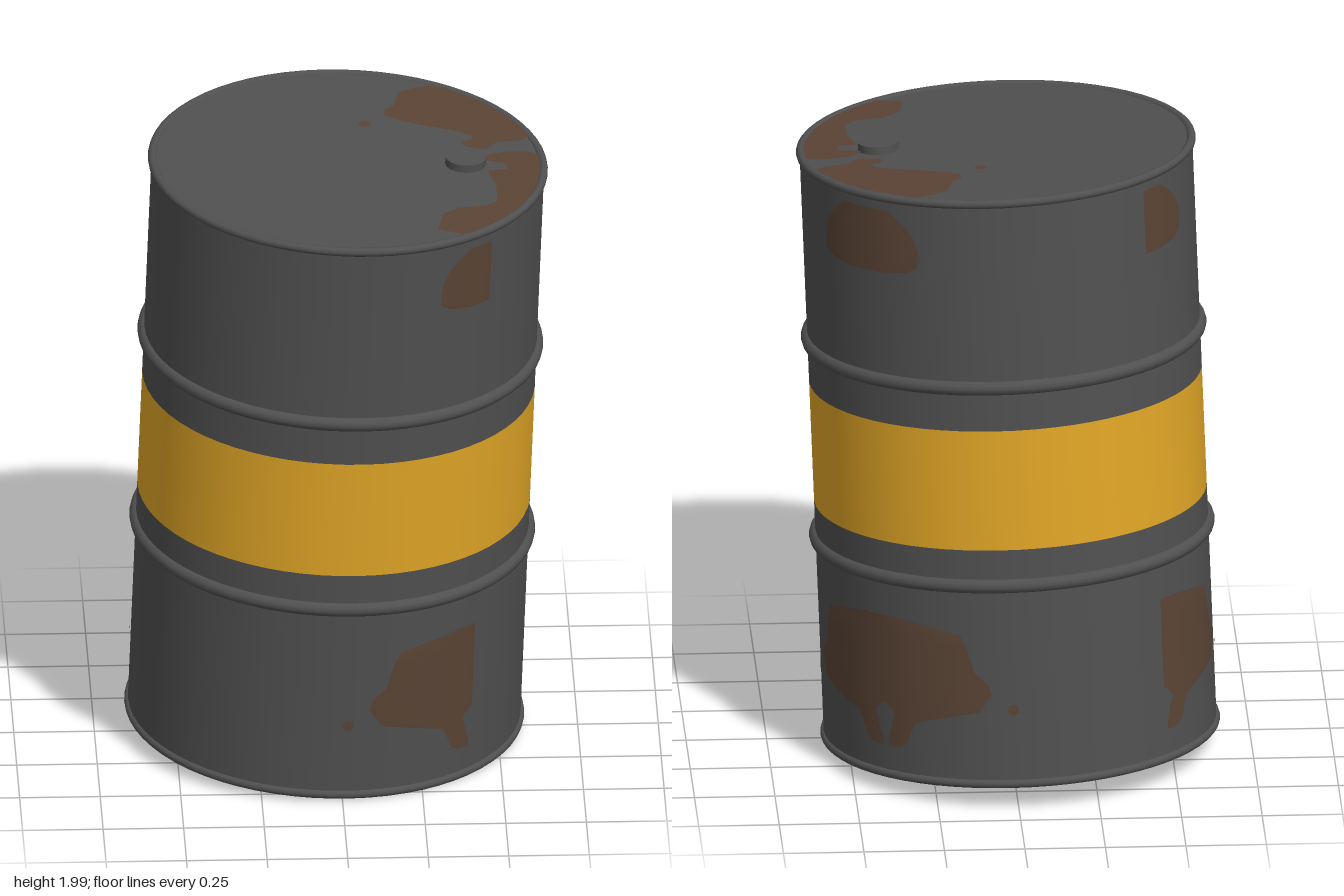
import * as THREE from 'three';

const R = 0.61, H = 0.95, SEG = 64;
const LID = { x: 0.035, z: 0.053 }; // offset of the tilted lid's centre

const steel = new THREE.MeshStandardMaterial({ color: 0x505050 });
steel.name = 'dark grey steel';
const yellow = new THREE.MeshStandardMaterial({ color: 0xe0a526 });
yellow.name = 'yellow paint';
const rust = new THREE.MeshStandardMaterial({ color: 0x5a4435, side: THREE.DoubleSide });
rust.name = 'brown rust';

// Side stains: [height, outer degrees, inner degrees] measured from a seam
const LOWER = [
  [-0.425, 6, 0], [-0.435, 13, 0], [-0.46, 26, 0], [-0.5, 28, 0], [-0.54, 29, 0], [-0.58, 30, 0],
  [-0.62, 34, 0], [-0.65, 35, 0], [-0.68, 33, 0], [-0.71, 31, 0], [-0.725, 24, 2], [-0.745, 16, 4],
  [-0.76, 11, 3], [-0.8, 9, 2], [-0.83, 8, 1], [-0.85, 5, 1],
];
const UPPER = [
  [0.905, 8, 0], [0.885, 11, 0], [0.85, 15, 0], [0.82, 17, 0], [0.78, 18, 0], [0.73, 18, 0],
  [0.71, 14, 0], [0.7, 7, 0],
];
// Lid stains: [z, x from, x to], 9 meaning up to the edge
const LID_BACK = [
  [-0.475, 0.32, 0.37], [-0.45, 0.26, 9], [-0.42, 0.21, 9], [-0.38, 0.2, 9], [-0.33, 0.19, 9],
  [-0.3, 0.16, 9], [-0.26, 0.16, 9], [-0.23, 0.2, 9], [-0.2, 0.27, 9], [-0.17, 0.36, 9],
  [-0.14, 0.42, 9], [-0.11, 0.43, 0.58], [-0.09, 0.39, 0.5], [-0.06, 0.4, 0.48], [-0.045, 0.44, 0.47],
];
const LID_FRONT = [
  [-0.03, 0.54, 0.6], [-0.01, 0.48, 9], [0.03, 0.45, 9], [0.05, 0.52, 9], [0.09, 0.53, 9],
  [0.1, 0.47, 9], [0.13, 0.47, 9], [0.2, 0.49, 9], [0.25, 0.49, 9], [0.31, 0.49, 9],
  [0.34, 0.46, 9], [0.36, 0.37, 9], [0.4, 0.32, 9], [0.45, 0.31, 9], [0.51, 0.3, 9], [0.54, 0.38, 9],
];

// Thin sheet made of rows; place(row, t) gives the point at t = 0..1 along a row
function sheet(rows, place, cols = 12) {
  const pos = [], idx = [];
  rows.forEach((row, i) => {
    for (let j = 0; j <= cols; j++) {
      pos.push(...place(row, j / cols));
      if (i && j) {
        const d = i * (cols + 1) + j, b = d - cols - 1;
        idx.push(b - 1, d - 1, d, b - 1, d, b);
      }
    }
  });
  const g = new THREE.BufferGeometry();
  g.setAttribute('position', new THREE.Float32BufferAttribute(pos, 3));
  g.setIndex(idx);
  g.computeVertexNormals();
  return g;
}

const onSide = (seam, dir) => ([h, outer, inner], t) => {
  const a = THREE.MathUtils.degToRad(seam + dir * (inner + (outer - inner) * t));
  return [Math.sin(a) * (R + 0.004), h, Math.cos(a) * (R + 0.004)];
};

const onLid = (y) => ([z, x0, x1], t) => {
  const lz = z - LID.z;
  const edge = Math.sqrt(Math.max(0, 0.607 ** 2 - lz * lz));
  const a = Math.min(x0 - LID.x, edge), b = Math.min(x1 - LID.x, edge);
  return [a + (b - a) * t, y, lz];
};

export function createModel() {
  const model = new THREE.Group();
  model.name = 'barrel';
  const drum = new THREE.Group();
  drum.name = 'tiltedDrum';
  model.add(drum);

  const add = (name, geometry, material, x = 0, y = 0, z = 0) => {
    const m = new THREE.Mesh(geometry, material);
    m.name = name;
    m.position.set(x, y, z);
    drum.add(m);
    return m;
  };

  // Wall in three sections, the middle one painted
  const wall = (name, y0, y1, material) =>
    add(name, new THREE.CylinderGeometry(R, R, y1 - y0, SEG, 1, true), material, 0, (y0 + y1) / 2, 0);
  wall('lowerWall', -H, -0.183, steel);
  wall('paintedBand', -0.183, 0.205, yellow);
  wall('upperWall', 0.205, H, steel);

  // Lid and base
  for (const s of [1, -1]) {
    const disc = add(s > 0 ? 'lid' : 'base', new THREE.CircleGeometry(R, SEG), steel, 0, s * H, 0);
    disc.rotation.x = -s * Math.PI / 2;
  }

  // Rims and rolling hoops
  for (const [name, y, r, tube] of [
    ['topRim', 0.944, 0.607, 0.014], ['bottomRim', -0.944, 0.607, 0.014],
    ['upperHoop', 0.345, 0.607, 0.023], ['lowerHoop', -0.3, 0.607, 0.023],
  ]) {
    add(name, new THREE.TorusGeometry(r, tube, 12, SEG), steel, 0, y, 0).rotation.x = Math.PI / 2;
  }

  // Bung cap on the lid
  add('bungCap', new THREE.CylinderGeometry(0.063, 0.063, 0.03, 32), steel, 0.365, H + 0.01, 0);

  // Rust on the wall, mirrored about the seams
  for (const [seam, dir] of [[45, -1], [135, -1], [135, 1], [225, 1]]) {
    add('lowerRust', sheet(LOWER, onSide(seam, dir)), rust);
    add('upperRust', sheet(UPPER, onSide(seam, dir)), rust);
    const a = THREE.MathUtils.degToRad(seam + dir * 41);
    const spot = add('rustSpot', new THREE.CircleGeometry(0.018, 10), rust,
      Math.sin(a) * (R + 0.003), -0.703, Math.cos(a) * (R + 0.003));
    spot.rotation.y = a;
  }

  // Rust on the lid and the base
  for (const s of [1, -1]) {
    const y = s * (H + 0.003);
    add('endRustBack', sheet(LID_BACK, onLid(y)), rust);
    add('endRustFront', sheet(LID_FRONT, onLid(y)), rust);
    const spot = add('endRustSpot', new THREE.CircleGeometry(0.02, 10), rust, 0.06, y, -0.253);
    spot.rotation.x = -s * Math.PI / 2;
  }

  // Lean the drum slightly and stand it on the ground
  const axis = new THREE.Vector3(0.037, 1, 0.056).normalize();
  drum.quaternion.setFromUnitVectors(new THREE.Vector3(0, 1, 0), axis);
  drum.position.y = 1;
  return model;
}
